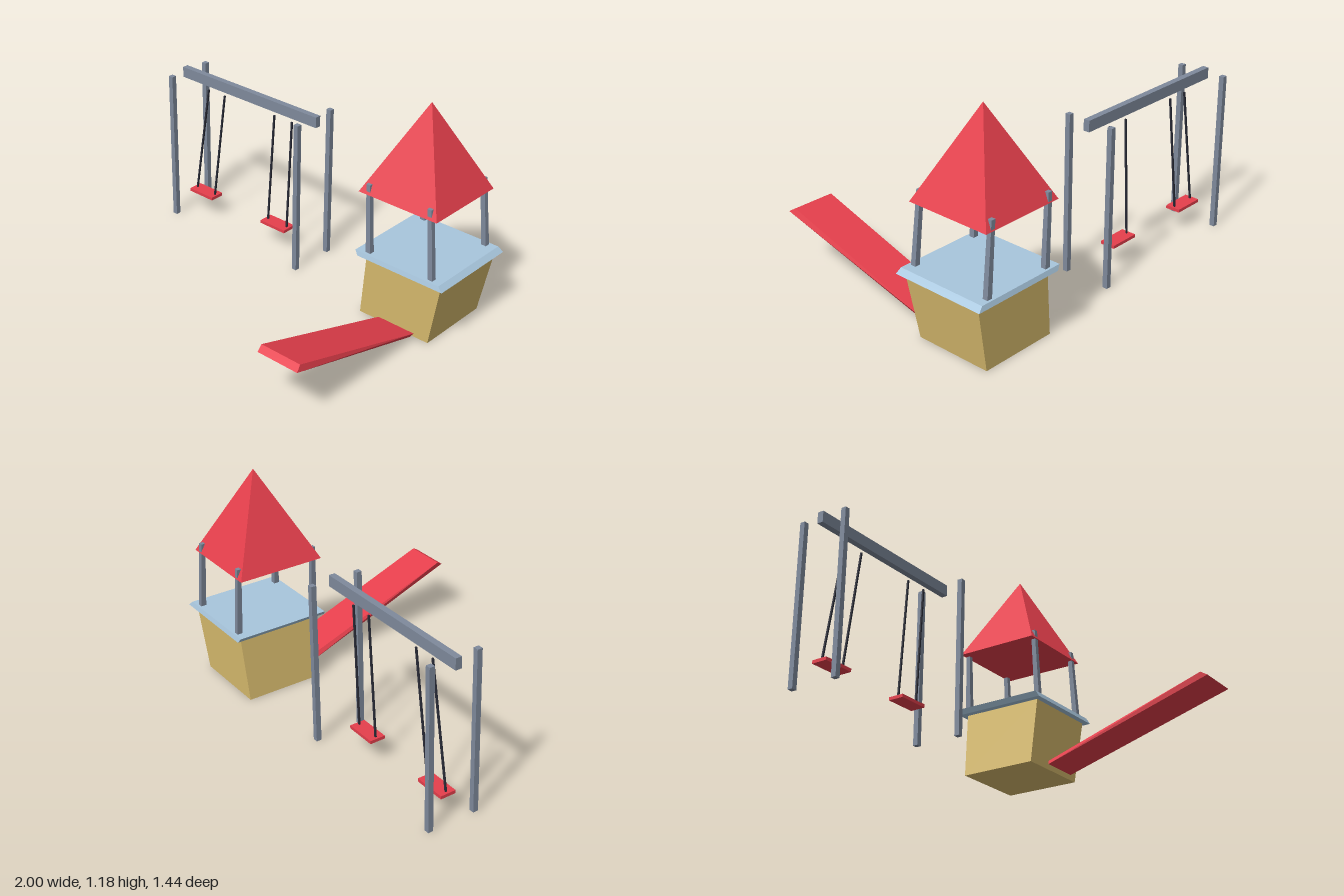
import * as THREE from 'three';

const paint = (color) => new THREE.MeshStandardMaterial({ color, flatShading: true });
const red = paint(0xe63f4c), grey = paint(0x7f8a9c), blue = paint(0xa8c6dd);
const sand = paint(0xd9bc6e), dark = paint(0x2a2c38);

// Six-sided block whose corners come from a rule on (right, up, front) flags
function block(name, material, corner) {
  const geo = new THREE.BoxGeometry(1, 1, 1);
  const p = geo.attributes.position;
  for (let i = 0; i < p.count; i++) {
    p.setXYZ(i, ...corner(p.getX(i) > 0, p.getY(i) > 0, p.getZ(i) > 0));
  }
  geo.computeVertexNormals();
  const mesh = new THREE.Mesh(geo, material);
  mesh.name = name;
  return mesh;
}

// Block between a lower and an upper rectangle, each [x0, x1, z0, z1, y]
const taper = (name, material, low, high) => block(name, material, (r, u, f) => {
  const s = u ? high : low;
  return [s[r ? 1 : 0], s[4], s[f ? 3 : 2]];
});

// Leaning square bar from a to b, with half widths ha and hb
const bar = (name, material, a, b, ha, hb = ha) => taper(name, material,
  [a[0] - ha, a[0] + ha, a[2] - ha, a[2] + ha, a[1]],
  [b[0] - hb, b[0] + hb, b[2] - hb, b[2] + hb, b[1]]);

function createSwingSet() {
  const g = new THREE.Group();
  g.name = 'swingSet';
  const z = -0.46;
  g.add(taper('topBeam', grey, [-1, -0.022, z - 0.017, z + 0.017, 0.815], [-1, -0.022, z - 0.017, z + 0.017, 0.875]));
  for (const x of [-0.97, -0.05]) {
    for (const pz of [-0.59, -0.33]) g.add(bar('framePost', grey, [x, 0, pz], [x, 0.865, pz], 0.014));
  }
  // Each swing: seat span, then [bottom x, top x] of its two ropes
  const swings = [
    { seat: [-0.943, -0.768], ropes: [[-0.925, -0.817], [-0.785, -0.695]] },
    { seat: [-0.388, -0.214], ropes: [[-0.37, -0.327], [-0.232, -0.202]] },
  ];
  for (const { seat, ropes } of swings) {
    const swing = new THREE.Group();
    swing.name = 'swing';
    swing.add(taper('swingSeat', red, [...seat, z - 0.042, z + 0.042, 0.118], [...seat, z - 0.042, z + 0.042, 0.135]));
    for (const [x0, x1] of ropes) swing.add(bar('swingRope', dark, [x0, 0.13, z], [x1, 0.785, z], 0.0045));
    g.add(swing);
  }
  return g;
}

function createTower() {
  const g = new THREE.Group();
  g.name = 'tower';
  g.add(taper('towerBase', sand, [0.47, 0.9, -0.67, -0.244, 0], [0.51, 0.967, -0.686, -0.228, 0.36]));
  g.add(taper('deck', blue, [0.476, 0.995, -0.72, -0.195, 0.358], [0.457, 0.968, -0.712, -0.202, 0.383]));
  // Roof posts lean with the tower and poke through the roof
  for (const [x0, x1] of [[0.525, 0.501], [0.907, 0.87]]) {
    for (const [z0, z1] of [[-0.685, -0.678], [-0.232, -0.24]]) {
      g.add(bar('roofPost', grey, [x0, 0.38, z0], [x1, 0.757, z1], 0.0145, 0.012));
    }
  }
  // Four-sided pyramid with its faces square to the axes
  const geo = new THREE.ConeGeometry(Math.SQRT1_2, 1, 4);
  geo.rotateY(Math.PI / 4);
  const roof = new THREE.Mesh(geo, red);
  roof.name = 'roof';
  roof.scale.set(0.472, 0.476, 0.474);
  roof.position.set(0.685, 0.943, -0.457);
  g.add(roof);
  return g;
}

// Thin, slightly twisted board rising towards the front
function createSlide() {
  const lowEnd = { top: [0.607, 0.829, 0.036, -0.222], under: [0.594, 0.814, 0.013, -0.215] };
  const highEnd = { top: [0.63, 0.863, 0.343, 0.683], under: [0.638, 0.876, 0.322, 0.718] };
  return block('slide', red, (r, u, f) => {
    const e = (f ? highEnd : lowEnd)[u ? 'top' : 'under'];
    return [e[r ? 1 : 0], e[2], e[3]];
  });
}

export function createModel() {
  const model = new THREE.Group();
  model.name = 'playground';
  model.add(createSwingSet(), createTower(), createSlide());
  return model;
}
